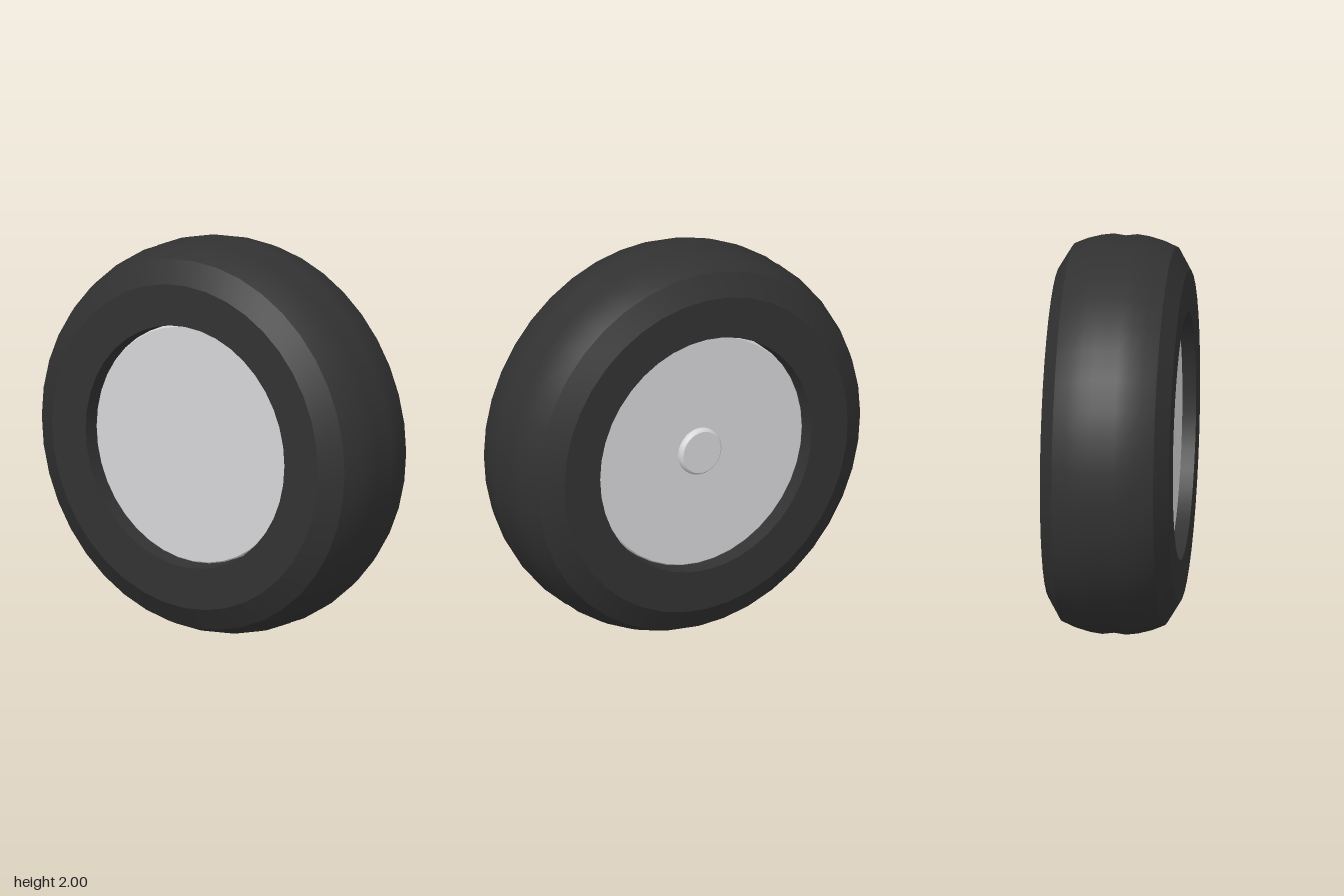
import * as THREE from 'three';
import { toCreasedNormals } from 'three/addons/utils/BufferGeometryUtils.js';

const SEGMENTS = 40;

// Spins a profile of [x, radius] points around the wheel axle (x axis).
function spin(name, profile, material) {
  const points = profile.map(([x, r]) => new THREE.Vector2(r, x));
  const geometry = new THREE.LatheGeometry(points, SEGMENTS);
  geometry.rotateZ(-Math.PI / 2);
  const mesh = new THREE.Mesh(toCreasedNormals(geometry, 0.42), material);
  mesh.name = name;
  return mesh;
}

// Rounded corner from the outer wall to a flat face, meeting the face at a crisp edge.
function roundedCorner(face, radius, bevel, steps = 4) {
  const end = Math.PI / 3;
  const arc = [];
  for (let i = 0; i <= steps; i++) {
    const a = (i / steps) * end;
    arc.push([
      face + bevel * (Math.sin(a) - Math.sin(end)),
      radius - bevel + bevel * Math.cos(a),
    ]);
  }
  return arc;
}

const mirrorX = (points) => points.map(([x, r]) => [-x, r]).reverse();

export function createModel() {
  const rubber = new THREE.MeshStandardMaterial({ color: 0x323232 });
  rubber.name = 'dark rubber';
  const metal = new THREE.MeshStandardMaterial({ color: 0xd6d6d8 });
  metal.name = 'light grey metal';

  const wheel = new THREE.Group();
  wheel.name = 'wheel';

  // Tyre: half section from the shallow centre groove to the inner bore
  const half = [
    [0.06, 1.0], [0.12, 0.992], [0.19, 0.973],
    [0.255, 0.945], [0.323, 0.83], [0.323, 0.62],
  ];
  const section = [...mirrorX(half), [0, 0.992], ...half];
  wheel.add(spin('tire', [...section, section[0]], rubber));

  // Rim: drum with softened edges, recessed and clear of the bore
  const rimEdge = roundedCorner(0.256, 0.608, 0.014);
  wheel.add(spin('rim', [[-0.256, 0], ...mirrorX(rimEdge), ...rimEdge, [0.256, 0]], metal));

  // Hub cap: rounded button on the outer side only
  const capEdge = roundedCorner(0.287, 0.122, 0.026);
  wheel.add(spin('hubCap', [[0.25, 0.122], ...capEdge, [0.287, 0]], metal));

  wheel.position.y = 1;
  const model = new THREE.Group();
  model.name = 'wheelModel';
  model.add(wheel);
  return model;
}
